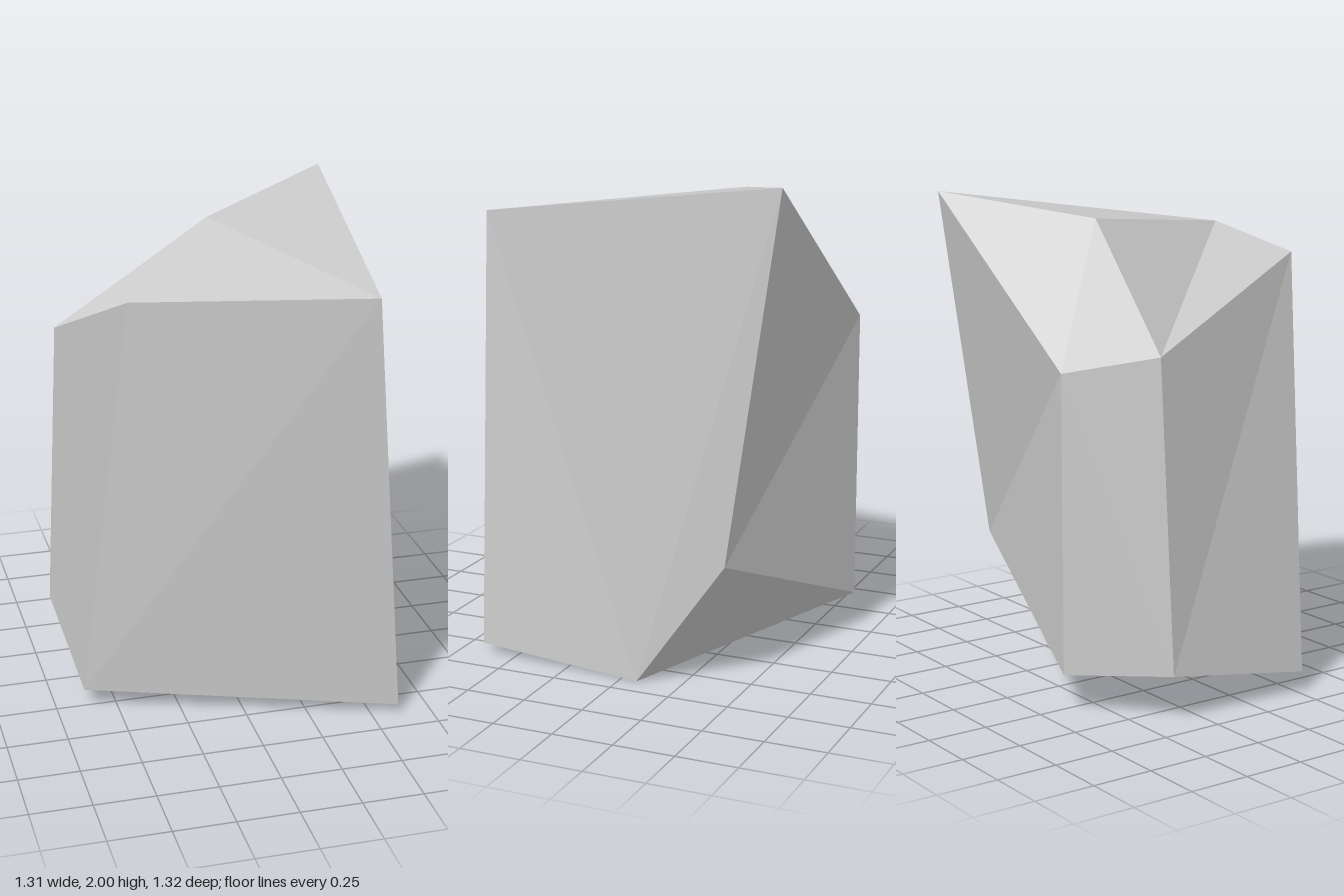
import * as THREE from 'three';

// Corner points of the stone block
const corners = {
  // upper corners
  peak: [0.635, 2.0, -0.66],
  frontRight: [0.472, 1.82, 0.66],
  frontLeft: [-0.44, 1.78, 0.345],
  ridge: [0.035, 1.91, -0.28],
  notch: [-0.592, 1.44, -0.41],
  backTop: [-0.285, 1.36, -0.66],
  // lower corners
  baseFrontLeft: [-0.635, 0.085, 0.27],
  baseBackLeft: [-0.655, 0.195, -0.393],
  baseFrontRight: [0.61, 0.04, 0.645],
  foot: [0.652, 0, -0.07],
  heel: [0.637, 0.52, -0.44],
  baseBack: [-0.285, 0.155, -0.66],
};

// Facets, counter-clockwise from outside, each filled as a fan from its first corner
const facets = [
  ['frontRight', 'frontLeft', 'baseFrontLeft', 'baseFrontRight'], // front
  ['foot', 'heel', 'peak', 'frontRight', 'baseFrontRight'], // right side
  ['heel', 'baseBack', 'backTop', 'peak'], // back
  ['heel', 'foot', 'baseBack'], // back undercut
  ['backTop', 'baseBack', 'baseBackLeft', 'notch'], // back left
  ['baseBackLeft', 'baseFrontLeft', 'frontLeft', 'notch'], // left side
  ['baseFrontRight', 'baseFrontLeft', 'baseBackLeft', 'baseBack', 'foot'], // underside
  ['frontLeft', 'frontRight', 'notch'], // top front slope
  ['notch', 'frontRight', 'ridge'], // top step
  ['frontRight', 'peak', 'ridge'], // top right slope
  ['ridge', 'peak', 'backTop', 'notch'], // top back slope
];

function facetedGeometry() {
  const positions = [];
  for (const facet of facets) {
    for (let i = 1; i < facet.length - 1; i++) {
      for (const name of [facet[0], facet[i], facet[i + 1]]) positions.push(...corners[name]);
    }
  }
  const geometry = new THREE.BufferGeometry();
  geometry.setAttribute('position', new THREE.Float32BufferAttribute(positions, 3));
  geometry.computeVertexNormals(); // unshared corners give flat facets
  return geometry;
}

export function createModel() {
  const group = new THREE.Group();
  group.name = 'rock';
  const stone = new THREE.MeshStandardMaterial({ color: 0xc8c8c8 });
  stone.name = 'stone grey';
  const block = new THREE.Mesh(facetedGeometry(), stone);
  block.name = 'stoneBlock';
  group.add(block);
  return group;
}
